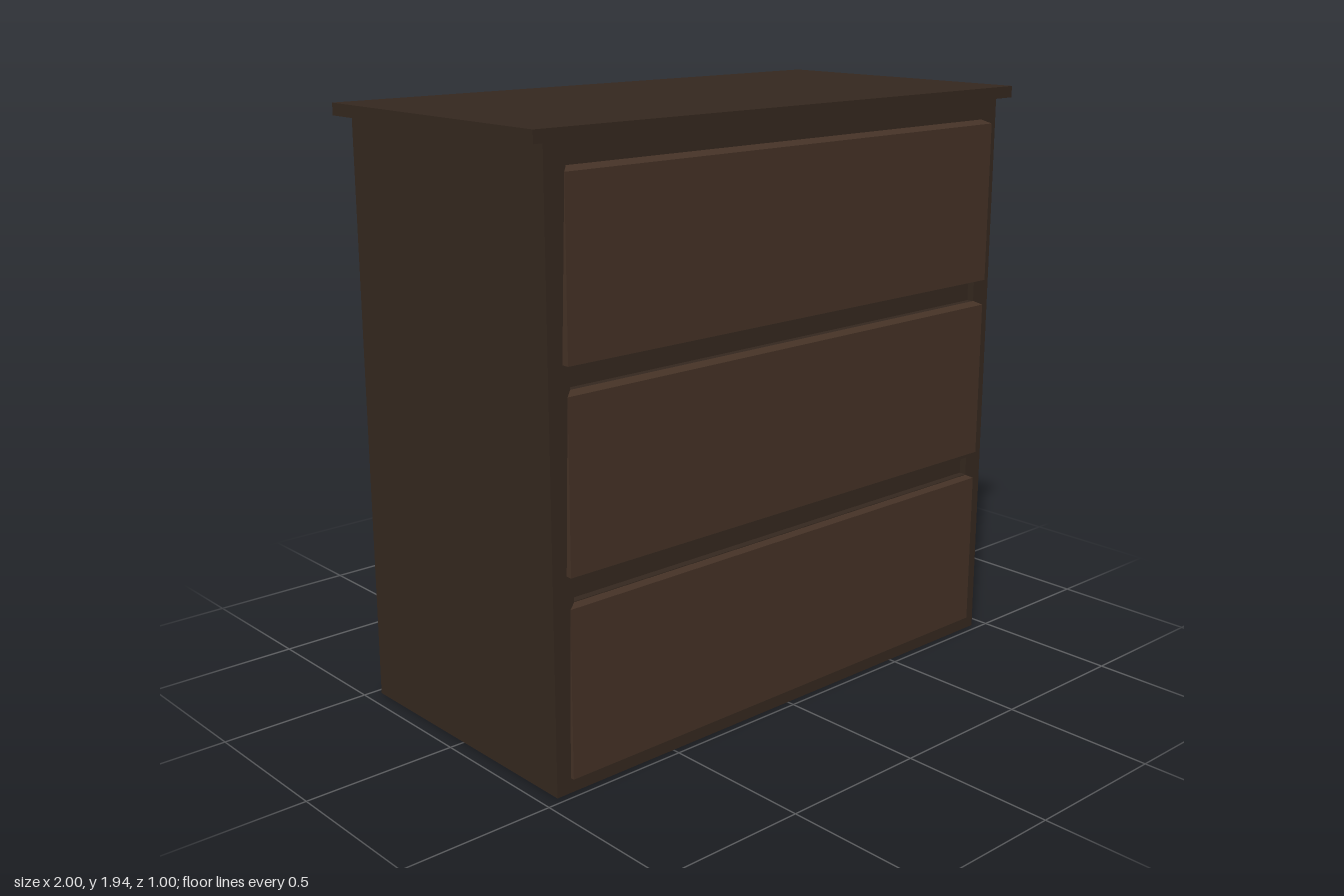
import * as THREE from 'three';

const frameMat = new THREE.MeshStandardMaterial({ color: 0x35281f, flatShading: true });
const drawerMat = new THREE.MeshStandardMaterial({ color: 0x453226, flatShading: true });

const FRONT = 0.475; // z of the cabinet front
const RECESS = 0.025; // depth of the finger grooves

function add(group, name, geometry, material, x = 0, y = 0, z = 0) {
  const mesh = new THREE.Mesh(geometry, material);
  mesh.name = name;
  mesh.position.set(x, y, z);
  group.add(mesh);
}

function rectangle(target, x, y0, y1) {
  target.moveTo(-x, y0);
  target.lineTo(x, y0);
  target.lineTo(x, y1);
  target.lineTo(-x, y1);
  target.closePath();
  return target;
}

// Slab whose top edge slopes up and inward toward the cabinet
function drawerFront(y0, y1, depth) {
  const geometry = new THREE.BoxGeometry(1.8, y1 - y0, depth);
  geometry.translate(0, (y0 + y1) / 2, FRONT + depth / 2);
  const p = geometry.attributes.position;
  for (let i = 0; i < p.count; i++) {
    if (p.getY(i) > y1 - 0.01 && p.getZ(i) < FRONT + depth / 2) {
      p.setXYZ(i, Math.sign(p.getX(i)) * 0.875, y1 + 0.013, p.getZ(i));
    }
  }
  const flat = geometry.toNonIndexed();
  flat.computeVertexNormals();
  return flat;
}

export function createModel() {
  const chest = new THREE.Group();
  chest.name = 'chestOfDrawers';

  // Closed cabinet behind the front frame
  const bodyDepth = 2 * FRONT - RECESS;
  add(chest, 'cabinetBody', new THREE.BoxGeometry(1.9, 1.9, bodyDepth), frameMat, 0, 0.95, -RECESS / 2);

  // Front frame with a finger groove under each of the upper drawers
  const frame = rectangle(new THREE.Shape(), 0.95, 0, 1.9);
  for (const [y0, y1] of [[0.593, 0.655], [1.215, 1.282]]) {
    frame.holes.push(rectangle(new THREE.Path(), 0.875, y0, y1));
  }
  add(chest, 'frontFrame', new THREE.ExtrudeGeometry(frame, { depth: RECESS, bevelEnabled: false }),
    frameMat, 0, 0, FRONT - RECESS);

  // Drawer fronts, from bottom to top
  const drawers = [
    ['bottomDrawer', 0.048, 0.578, 0.014],
    ['middleDrawer', 0.675, 1.203, 0.02],
    ['topDrawer', 1.29, 1.82, 0.025],
  ];
  for (const [name, y0, y1, depth] of drawers) {
    add(chest, name, drawerFront(y0, y1, depth), drawerMat);
  }

  // Overhanging top board
  add(chest, 'topBoard', new THREE.BoxGeometry(2, 0.038, 1), frameMat, 0, 1.919, 0);

  return chest;
}
